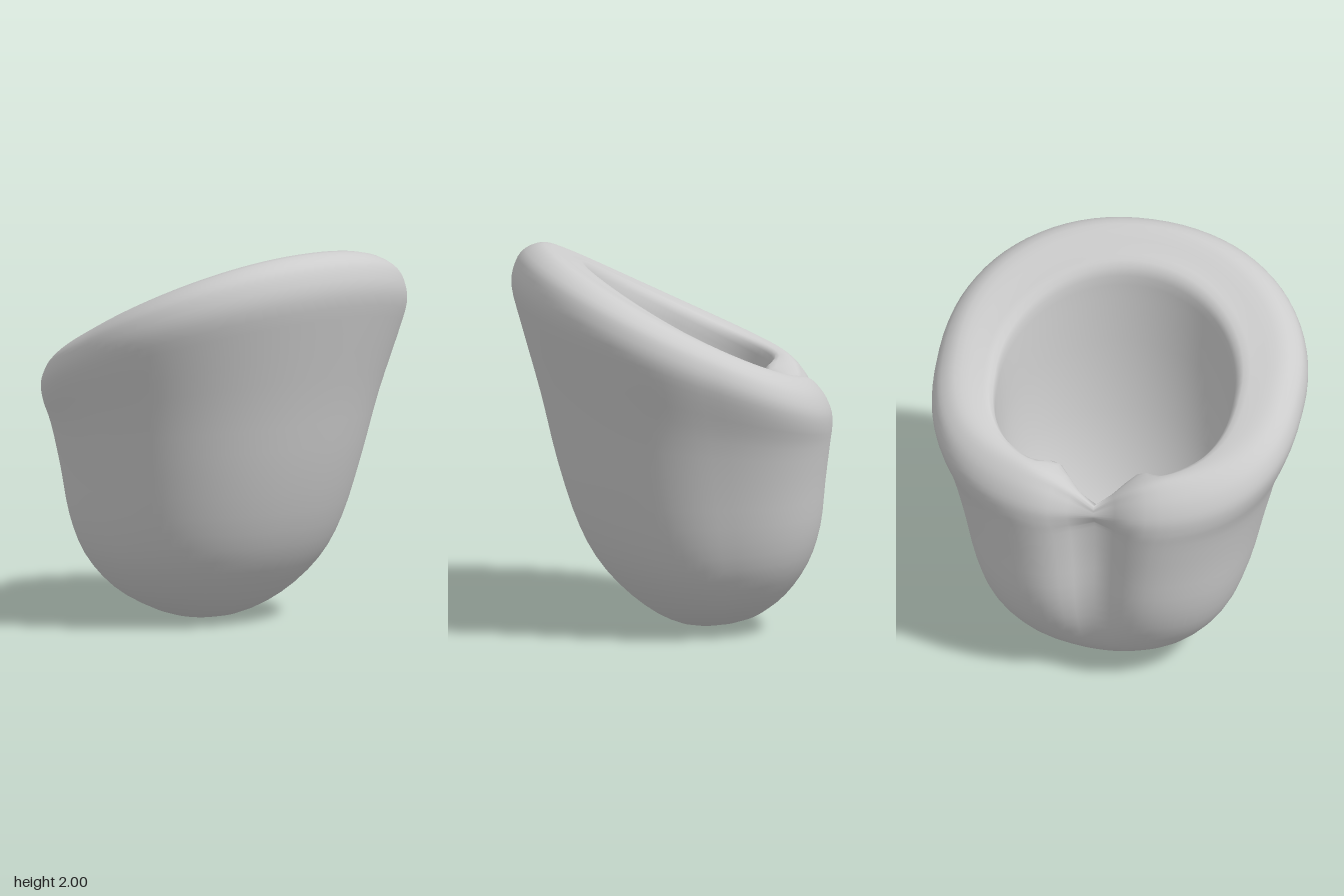
import * as THREE from 'three';

const SEG = 80;
const STEPS = 3; // rings per loop

// Tilted loops:
// [front z, front y, back z, back y, half width, back fold depth, inner ridge, notch drop]
const outerLoops = [
  [-0.26, 0, -0.42, 0.04, 0.085, 0, 0, 0],
  [-0.05, 0.02, -0.49, 0.085, 0.26, 0, 0, 0],
  [0.14, 0.12, -0.61, 0.195, 0.465, 0.02, 0, 0],
  [0.33, 0.3, -0.72, 0.36, 0.625, 0.07, 0, 0],
  [0.46, 0.52, -0.785, 0.56, 0.715, 0.12, 0, 0],
  [0.57, 0.85, -0.81, 0.8, 0.785, 0.16, 0, 0],
  [0.66, 1.22, -0.83, 1.0, 0.86, 0.18, 0, 0.01],
  [0.76, 1.58, -0.835, 1.08, 0.935, 0.17, 0, 0.04],
  [0.81, 1.78, -0.83, 1.16, 0.97, 0.15, 0, 0.09],
  [0.79, 1.9, -0.8, 1.24, 0.96, 0.12, 0, 0.15],
  [0.74, 1.97, -0.76, 1.3, 0.925, 0.08, 0, 0.2],
  [0.64, 2.0, -0.72, 1.34, 0.85, 0.04, 0, 0.22],
];
const innerLoops = [
  [0.52, 1.94, -0.69, 1.35, 0.73, 0.03, 0.04, 0.22],
  [0.42, 1.88, -0.66, 1.32, 0.635, 0.03, 0.1, 0.21],
  [0.4, 1.7, -0.67, 1.15, 0.615, 0.09, 0.09, 0.08],
  [0.36, 1.3, -0.64, 0.9, 0.59, 0.13, 0.06, 0],
  [0.28, 0.93, -0.59, 0.68, 0.53, 0.11, 0.04, 0],
  [0.15, 0.64, -0.55, 0.49, 0.41, 0.05, 0, 0],
  [-0.02, 0.45, -0.5, 0.35, 0.27, 0, 0, 0],
  [-0.2, 0.33, -0.46, 0.27, 0.13, 0, 0, 0],
  [-0.26, 0, -0.42, 0.04, 0.085, 0, 0, 0],
];

function loopPoint([zf, yf, zb, yb, w, fold, ridge, drop], a, inner) {
  const c = Math.cos(a), s = Math.sin(a);
  // Rounder at the front, squarer at the back
  const e = c < 0 ? 0.8 : inner ? 1 : 0.94;
  const k = Math.sign(c) * Math.abs(c) ** e;
  const x = w * Math.sign(s) * Math.abs(s) ** e;
  let z = (zf + zb) / 2 + ((zf - zb) / 2) * k;
  // The rim sags a little at the sides
  let y = (yf + yb) / 2 + ((yf - yb) / 2) * k - 0.18 * drop * s * s;
  if (c < 0) {
    // Groove outside, matching fold with two ridges inside, notch in the rim
    const ax = Math.abs(x);
    z += fold * (inner ? 1 / (1 + (ax / 0.22) ** 6) : Math.exp(-((ax / 0.16) ** 1.6)));
    z += ridge * Math.exp(-(((ax - 0.22) / 0.08) ** 2));
    y -= drop * Math.exp(-((ax / 0.16) ** 1.4));
  }
  return [x, Math.max(0, y), z];
}

// Joins rings of points with quads, wrapping round each ring
function loft(rings) {
  const index = [];
  for (let j = 0; j < rings.length - 1; j++) {
    for (let i = 0; i < SEG; i++) {
      const n = (i + 1) % SEG;
      const a = j * SEG + i, b = j * SEG + n;
      const d = a + SEG, c = b + SEG;
      index.push(a, b, c, a, c, d);
    }
  }
  const g = new THREE.BufferGeometry();
  g.setAttribute('position', new THREE.Float32BufferAttribute(rings.flat(2), 3));
  g.setIndex(index);
  g.computeVertexNormals();
  return g;
}

const ringOf = (fn) => Array.from({ length: SEG }, (_, i) => fn((i / SEG) * Math.PI * 2));

export function createModel() {
  const group = new THREE.Group();
  group.name = 'foldedCup';
  const grey = new THREE.MeshStandardMaterial({ color: 0xcccccc, side: THREE.DoubleSide });
  grey.name = 'light grey';

  // Thick cup wall: outside, rim, cavity and drain hole in one smooth skin
  const loops = [...outerLoops, ...innerLoops];
  const curve = new THREE.CubicInterpolant(loops.map((_, i) => i), loops.flat(), 8);
  const rings = [];
  for (let j = 0; j <= (loops.length - 1) * STEPS; j++) {
    const t = j / STEPS;
    const loop = Array.from(curve.evaluate(t));
    rings.push(ringOf((a) => loopPoint(loop, a, t > outerLoops.length - 0.5)));
  }
  const cup = new THREE.Mesh(loft(rings), grey);
  cup.name = 'cupWall';
  group.add(cup);

  // Thin collar standing round the hole on the cavity floor
  const profile = [[0.15, 0.3], [0.19, 0.4], [0.22, 0.55], [0.23, 0.7]];
  const collar = new THREE.Mesh(
    loft(profile.map(([r, y]) => ringOf((a) => [
      r * Math.sin(a),
      y + 0.02 * Math.cos(3 * a),
      -0.37 + r * Math.cos(a),
    ]))),
    grey,
  );
  collar.name = 'holeCollar';
  group.add(collar);

  return group;
}
